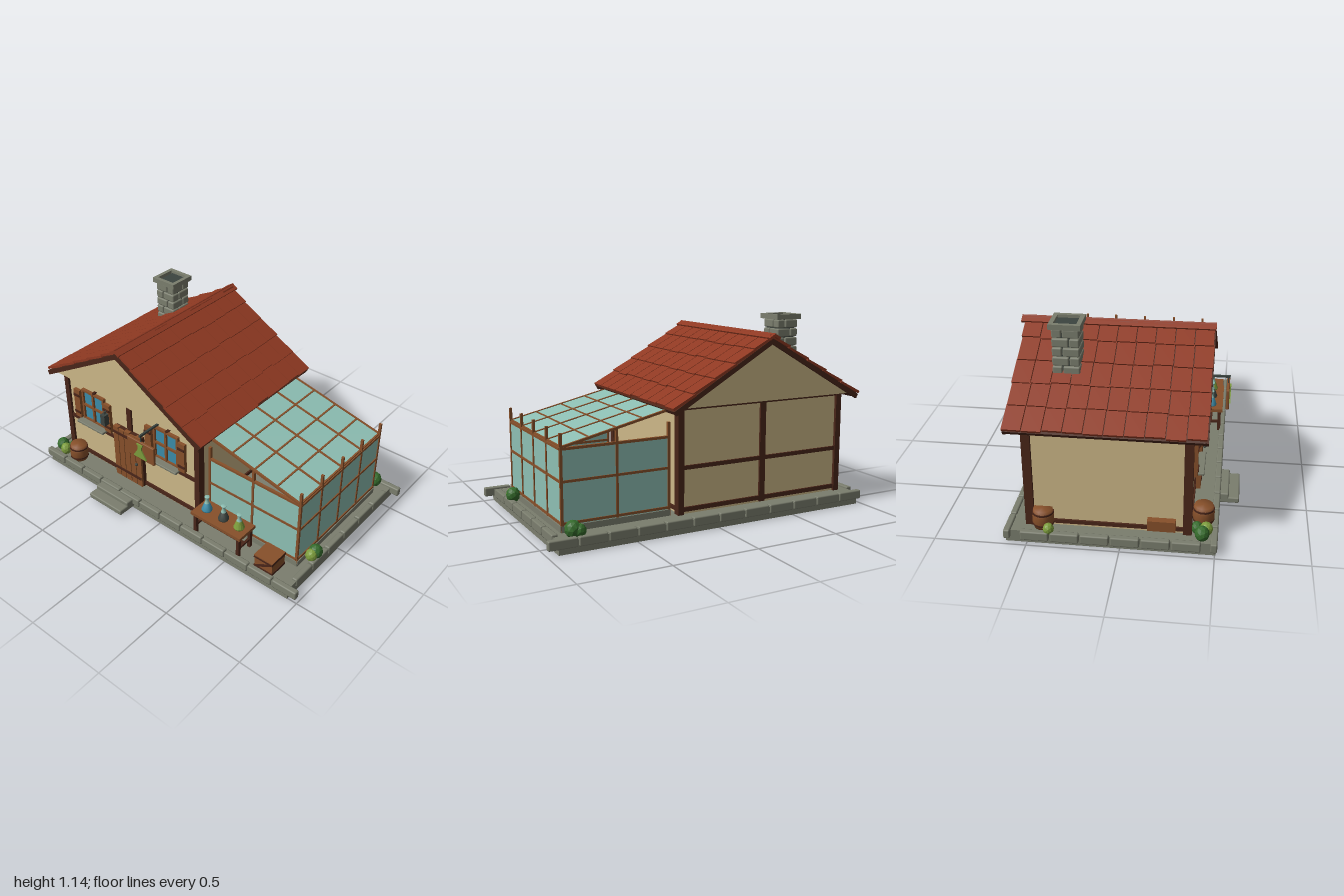
import * as THREE from 'three';
import { RoundedBoxGeometry } from 'three/addons/geometries/RoundedBoxGeometry.js';

const mat = (name, color, flatShading = false, side = THREE.FrontSide) =>
  Object.assign(new THREE.MeshStandardMaterial({ color, flatShading, side }), { name });

export function createModel() {
  const root = new THREE.Group();
  root.name = 'workshopHouse';
  const stone = mat('stone', 0x7b7e6e), plaster = mat('plaster', 0xcdb888), tile = mat('tile', 0x8f3922);
  const timber = mat('darkTimber', 0x4a2619), wood = mat('wood', 0x87502a), glass = mat('glass', 0x8ec0b4);
  const blue = mat('blue', 0x3b8ca8), leafDark = mat('darkLeaf', 0x356b2c, true);
  const green = mat('lightGreen', 0x7c9c3c, true), iron = mat('iron', 0x3c4440);
  let seed = 7;
  const rnd = () => (seed = (seed * 16807) % 2147483647) / 2147483647;

  const group = (name, parent = root) => {
    const g = new THREE.Group();
    g.name = name;
    parent.add(g);
    return g;
  };
  const add = (parent, name, geo, m, x = 0, y = 0, z = 0) => {
    const mesh = new THREE.Mesh(geo, m);
    mesh.name = name;
    mesh.position.set(x, y, z);
    parent.add(mesh);
    return mesh;
  };
  // Box given by its bounds; r > 0 gives bevelled edges
  const box = (parent, name, m, x0, x1, y0, y1, z0, z1, r = 0) => {
    const s = [x1 - x0, y1 - y0, z1 - z0];
    const geo = r ? new RoundedBoxGeometry(...s, 1, r) : new THREE.BoxGeometry(...s);
    return add(parent, name, geo, m, (x0 + x1) / 2, (y0 + y1) / 2, (z0 + z1) / 2);
  };
  // Square bar between two points
  const bar = (parent, name, m, a, b, t) => {
    const p = new THREE.Vector3(...a), q = new THREE.Vector3(...b);
    const mesh = add(parent, name, new THREE.BoxGeometry(t, t, p.distanceTo(q)), m);
    mesh.position.addVectors(p, q).multiplyScalar(0.5);
    mesh.lookAt(q);
    return mesh;
  };
  const lathe = (parent, name, m, pts, x, y, z, n = 12) =>
    add(parent, name, new THREE.LatheGeometry(pts.map(p => new THREE.Vector2(...p)), n), m, x, y, z);

  // Foundation with a border of stones and the front steps
  const base = group('foundation');
  box(base, 'slab', stone, -0.97, 0.94, 0, 0.07, -0.615, 0.505);
  for (let i = 0; i < 12; i++) {
    const x = -1 + i / 6;
    for (const z of [-0.605, 0.495]) box(base, 'borderStone', stone, x + 0.003, x + 0.163, 0.03, 0.083, z - 0.018, z + 0.018, 0.008);
  }
  for (let i = 0; i < 6; i++) {
    const z = -0.535 + i * 0.161;
    for (const x of [-0.982, 0.928]) box(base, 'borderStone', stone, x - 0.018, x + 0.018, 0.03, 0.083, z + 0.004, z + 0.157, 0.008);
  }
  box(base, 'upperStep', stone, -0.49, -0.22, 0.025, 0.07, 0.48, 0.56, 0.008);
  box(base, 'lowerStep', stone, -0.49, -0.22, 0.01, 0.045, 0.48, 0.62, 0.008);

  // House walls and timber frame
  const house = group('house');
  box(house, 'walls', plaster, -0.89, 0.185, 0.07, 0.68, -0.5, 0.36);
  for (const x of [-0.89, 0.185]) for (const z of [-0.495, 0.35])
    box(house, 'cornerPost', timber, x - 0.018, x + 0.018, 0.07, 0.675, z - 0.022, z + 0.025);
  for (const z of [0.36, -0.5]) {
    for (const [y0, y1] of [[0.085, 0.11], [0.323, 0.346], [0.655, 0.675]])
      box(house, 'crossBeam', timber, -0.89, 0.185, y0, y1, z - 0.011, z + 0.011);
    box(house, 'middlePost', timber, -0.37, -0.333, 0.075, 0.67, z - 0.012, z + 0.012);
  }
  for (const x of [-0.89, 0.185]) for (const y of [0.097, 0.665])
    box(house, 'sideBeam', timber, x - 0.011, x + 0.011, y - 0.011, y + 0.011, -0.5, 0.36);
  const tri = new THREE.Shape([[-0.565, 0.676], [0.565, 0.676], [0, 1.006]].map(p => new THREE.Vector2(...p)));
  add(house, 'gable', new THREE.ExtrudeGeometry(tri, { depth: 1, bevelEnabled: false }), plaster, -0.35, 0, -0.57);

  // Tiled roof, both slopes
  const roof = group('roof');
  for (const s of [-1, 1]) {
    const slope = group('roofSlope', roof);
    slope.position.set(-0.35, 1.037, 0);
    slope.rotation.z = -s * 0.525;
    const board = box(slope, 'roofBoard', timber, 0, 0.722, -0.03, -0.01, -0.585, 0.44);
    board.position.x *= s;
    for (const z of [-0.585, 0.44]) {
      const edge = box(slope, 'bargeBoard', timber, 0, 0.722, -0.036, -0.008, z - 0.008, z + 0.008);
      edge.position.x *= s;
    }
    for (let row = 0; row < 5; row++) for (let i = 0; i < 10; i++) {
      const end = 0.145 * (row + 1) - 0.012 + rnd() * 0.012;
      const z = -0.595 + i * 0.104 + (row % 2 ? 0.004 : 0);
      const t = box(slope, 'roofTile', tile, end - 0.155, end, -0.006, 0.008, z + 0.001, z + 0.1);
      t.position.x *= s;
      t.rotation.z = s * 0.055;
    }
    const cap = box(slope, 'ridgeBoard', tile, -0.012, 0.034, 0.0, 0.016, -0.615, 0.45);
    cap.position.x *= s;
  }

  // Chimney of stacked stones with an open cap
  const chimney = group('chimney');
  box(chimney, 'flue', iron, -0.65, -0.54, 0.8, 1.125, -0.375, -0.255);
  for (let row = 0; row < 6; row++) {
    const y = 0.8 + row * 0.052, split = -0.597 + (row % 2 ? 0.018 : -0.018), zs = -0.315 + (row % 2 ? -0.018 : 0.018);
    for (const [x0, x1] of [[-0.667, split - 0.002], [split + 0.002, -0.527]])
      for (const [z0, z1] of [[-0.388, zs - 0.002], [zs + 0.002, -0.242]])
        box(chimney, 'chimneyStone', stone, x0, x1, y, y + 0.048, z0, z1, 0.008);
  }
  for (const k of [-1, 1]) {
    box(chimney, 'capStone', stone, -0.682, -0.512, 1.11, 1.14, -0.327 + k * 0.073, -0.303 + k * 0.073);
    box(chimney, 'capStone', stone, -0.609 + k * 0.073, -0.585 + k * 0.073, 1.11, 1.14, -0.39, -0.24);
  }

  // Plank door
  const door = group('door');
  box(door, 'doorBack', timber, -0.468, -0.242, 0.08, 0.448, 0.36, 0.385);
  for (let i = 0; i < 5; i++) {
    const x = -0.469 + i * 0.046;
    box(door, 'plank', wood, x, x + 0.041, 0.08, 0.452 - (i % 2) * 0.005, 0.37, 0.397);
  }
  for (const y of [0.14, 0.415]) box(door, 'hingeBand', timber, -0.465, -0.25, y - 0.009, y + 0.009, 0.395, 0.402);
  add(door, 'knob', new THREE.SphereGeometry(0.01, 8, 6), iron, -0.275, 0.25, 0.407);

  // Windows with shutters, sills and props
  for (const c of [-0.655, -0.05]) {
    const w = group('window');
    box(w, 'pane', blue, c - 0.09, c + 0.09, 0.375, 0.58, 0.36, 0.368);
    for (const k of [-1, 0, 1]) {
      box(w, 'upright', wood, c + k * 0.09 - 0.007, c + k * 0.09 + 0.007, 0.37, 0.587, 0.36, 0.381);
      box(w, 'rail', wood, c - 0.095, c + 0.095, 0.471 + k * 0.105, 0.485 + k * 0.105, 0.36, 0.38);
    }
    box(w, 'sill', stone, c - 0.115, c + 0.115, 0.355, 0.371, 0.36, 0.425, 0.004);
    for (const k of [-1, 1]) {
      const x = c + k * 0.131;
      box(w, 'shutter', wood, x - 0.025, x + 0.025, 0.37, 0.573, 0.37, 0.392);
      for (const y of [0.41, 0.535]) box(w, 'shutterBand', timber, x - 0.025, x + 0.025, y - 0.008, y + 0.008, 0.39, 0.397);
    }
    bar(w, 'prop', timber, [c, 0.585, 0.37], [c + 0.07, 0.66, 0.395], 0.014);
  }

  // Wall lantern
  const lantern = group('lantern');
  box(lantern, 'lanternBody', iron, -0.538, -0.502, 0.445, 0.52, 0.395, 0.432);
  box(lantern, 'lanternBracket', iron, -0.525, -0.515, 0.53, 0.538, 0.36, 0.415);
  box(lantern, 'lanternHook', iron, -0.524, -0.516, 0.515, 0.535, 0.407, 0.415);

  // Hanging sign with a flask plate
  const sign = group('hangingSign');
  box(sign, 'signArm', iron, -0.107, -0.095, 0.619, 0.631, 0.36, 0.537);
  box(sign, 'signHanger', iron, -0.104, -0.098, 0.58, 0.62, 0.523, 0.529);
  box(sign, 'signBoard', wood, -0.205, 0.003, 0.46, 0.583, 0.517, 0.535, 0.005);
  const flaskShape = new THREE.Shape([[-0.05, 0], [0.05, 0], [0.014, 0.058], [0.014, 0.085], [0.022, 0.085], [0.022, 0.095],
    [-0.022, 0.095], [-0.022, 0.085], [-0.014, 0.085], [-0.014, 0.058]].map(p => new THREE.Vector2(...p)));
  add(sign, 'flaskPlate', new THREE.ExtrudeGeometry(flaskShape, { depth: 0.008, bevelEnabled: false }), green, -0.1, 0.475, 0.535);

  // Greenhouse: glass sheets and wooden bars
  const gh = group('greenhouse');
  const zs = [-0.48, -0.28, -0.077, 0.125, 0.323], xs = [0.245, 0.555, 0.868];
  const roofY = x => 0.662 - (x - 0.245) * 0.228;
  box(gh, 'sideGlass', glass, 0.865, 0.871, 0.1, 0.515, -0.48, 0.323);
  box(gh, 'curb', stone, 0.85, 0.88, 0.07, 0.105, -0.485, 0.33);
  for (const z of [zs[0], zs[4]]) {
    box(gh, 'endGlass', glass, 0.245, 0.868, 0.1, 0.515, z - 0.003, z + 0.003);
    box(gh, 'curb', stone, 0.24, 0.875, 0.07, 0.105, z - 0.01, z + 0.01);
    for (const x of xs.slice(0, 2)) box(gh, 'endPost', wood, x - 0.007, x + 0.007, 0.07, 0.595, z - 0.008, z + 0.008);
  }
  for (const z of zs) {
    box(gh, 'sidePost', wood, 0.861, 0.876, 0.07, 0.595, z - 0.007, z + 0.007);
    bar(gh, 'rafter', wood, [0.245, roofY(0.245), z], [0.868, roofY(0.868), z], 0.013);
  }
  for (const y of [0.117, 0.34, 0.512]) {
    box(gh, 'sideRail', wood, 0.86, 0.877, y - 0.007, y + 0.007, -0.48, 0.323);
    for (const z of [zs[0], zs[4]]) box(gh, 'endRail', wood, 0.245, 0.868, y - 0.007, y + 0.007, z - 0.008, z + 0.008);
  }
  for (const x of [0.25, 0.4, 0.555, 0.71, 0.865])
    bar(gh, 'purlin', wood, [x, roofY(x), -0.48], [x, roofY(x), 0.323], 0.011);
  const sheet = add(gh, 'roofGlass', new THREE.BoxGeometry(0.638, 0.005, 0.803), glass, 0.5565, roofY(0.5565), -0.0785);
  sheet.rotation.z = -Math.atan(0.228);

  // Table with three flasks
  const table = group('table');
  box(table, 'tableTop', wood, 0.24, 0.597, 0.206, 0.226, 0.35, 0.495);
  for (const x of [0.262, 0.575]) {
    for (const z of [0.37, 0.475]) box(table, 'tableLeg', timber, x - 0.01, x + 0.01, 0.07, 0.208, z - 0.01, z + 0.01);
    box(table, 'tableEndRail', timber, x - 0.007, x + 0.007, 0.122, 0.136, 0.37, 0.475);
  }
  box(table, 'tableRail', timber, 0.262, 0.575, 0.122, 0.136, 0.415, 0.429);
  [[0.302, blue], [0.424, iron], [0.537, green]].forEach(([x, m]) => {
    lathe(table, 'flaskBody', m, [[0, 0], [0.03, 0], [0.033, 0.008], [0.016, 0.055], [0, 0.055]], x, 0.226, 0.422);
    lathe(table, 'flaskNeck', glass, [[0.016, 0.055], [0.01, 0.07], [0.01, 0.092], [0.015, 0.094], [0.015, 0.1], [0, 0.1]], x, 0.226, 0.422);
  });

  // Crate with a diagonal brace, and a trough by the left wall
  const crate = group('crate');
  box(crate, 'crateBody', wood, 0.695, 0.815, 0.07, 0.163, 0.362, 0.482);
  for (const y of [0.083, 0.155]) box(crate, 'crateBand', timber, 0.692, 0.818, y - 0.008, y + 0.008, 0.359, 0.486);
  box(crate, 'crateLid', wood, 0.692, 0.818, 0.16, 0.167, 0.359, 0.486);
  bar(crate, 'crateBrace', timber, [0.705, 0.09, 0.482], [0.805, 0.15, 0.482], 0.013);
  box(root, 'trough', wood, -0.935, -0.895, 0.1, 0.16, 0.14, 0.29);

  // Barrels
  for (const [x, z] of [[-0.775, 0.43], [-0.905, -0.42]]) {
    const b = group('barrel');
    lathe(b, 'staves', wood, [[0, 0], [0.05, 0], [0.059, 0.035], [0.059, 0.075], [0.051, 0.112], [0, 0.112]], x, 0.07, z, 14);
    for (const y of [0.025, 0.09]) add(b, 'hoop', new THREE.CylinderGeometry(0.059, 0.059, 0.01, 14), timber, x, 0.07 + y, z);
  }

  // Faceted bushes
  for (const [x, z, r, m] of [[-0.97, -0.38, 0.03, green], [-0.93, 0.43, 0.04, leafDark], [-0.88, 0.45, 0.036, green],
    [-0.87, 0.4, 0.032, leafDark], [0.905, 0.23, 0.036, green], [0.91, 0.195, 0.042, leafDark],
    [0.81, -0.575, 0.036, leafDark], [0.84, -0.56, 0.045, leafDark], [0.825, -0.525, 0.036, green]]) {
    const bush = add(root, 'bush', new THREE.IcosahedronGeometry(r, 1), m, x, 0.07 + r * 0.85, z);
    bush.scale.y = 1.1;
    bush.rotation.y = rnd() * 3;
  }
  return root;
}
